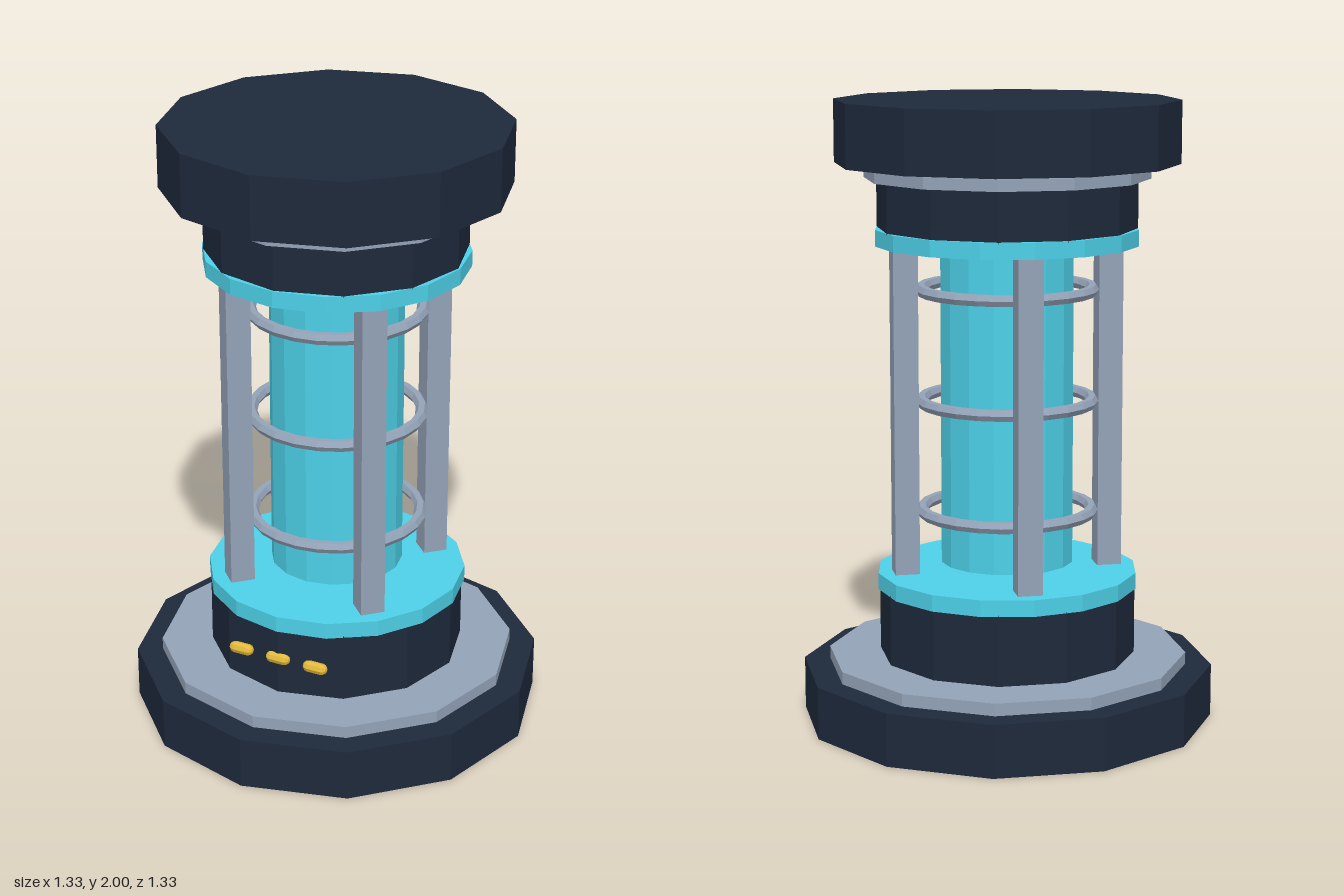
import * as THREE from 'three';

const material = (color) => new THREE.MeshStandardMaterial({ color, flatShading: true });

export function createModel() {
  const model = new THREE.Group();
  const navy = material(0x1e293b);
  const steel = material(0x94a3b8);
  const cyan = material(0x4dd0e8);
  const gold = material(0xe2b93b);

  const add = (name, geometry, mat, x = 0, y = 0, z = 0) => {
    const mesh = new THREE.Mesh(geometry, mat);
    mesh.name = name;
    mesh.position.set(x, y, z);
    model.add(mesh);
    return mesh;
  };

  // Upright prism between two heights
  const drum = (name, radius, bottom, top, mat, sides = 12) =>
    add(name, new THREE.CylinderGeometry(radius, radius, top - bottom, sides), mat, 0, (bottom + top) / 2, 0);

  // Stepped base
  drum('baseFoot', 0.667, 0, 0.17, navy);
  drum('basePlate', 0.583, 0.17, 0.21, steel);
  drum('baseHousing', 0.415, 0.21, 0.44, navy);
  drum('lowerGlowRing', 0.422, 0.435, 0.488, cyan, 16);

  // Floating energy core
  drum('core', 0.215, 0.515, 1.56, cyan, 16);

  // Stepped head
  drum('upperGlowRing', 0.422, 1.545, 1.597, cyan, 16);
  drum('headHousing', 0.415, 1.592, 1.8, navy);
  drum('headFlange', 0.455, 1.753, 1.79, steel);
  drum('cap', 0.549, 1.8, 2, navy);

  // Four posts turned to face the centre
  for (const x of [-0.235, 0.235]) {
    for (const z of [-0.235, 0.235]) {
      const post = add('post', new THREE.BoxGeometry(0.079, 1.07, 0.079), steel, x, 1.018, z);
      post.rotation.y = Math.PI / 4;
    }
  }

  // Hoops around the core
  for (const y of [0.683, 1.041, 1.4]) {
    const hoop = add('hoop', new THREE.TorusGeometry(0.274, 0.02, 6, 24), steel, 0, y, 0);
    hoop.rotation.x = Math.PI / 2;
  }

  // Row of indicator lights on the front
  for (const x of [-0.133, 0, 0.133]) {
    const light = add('indicatorLight', new THREE.CapsuleGeometry(0.019, 0.046, 3, 8), gold, x, 0.333, 0.411);
    light.rotation.z = Math.PI / 2;
  }

  return model;
}
